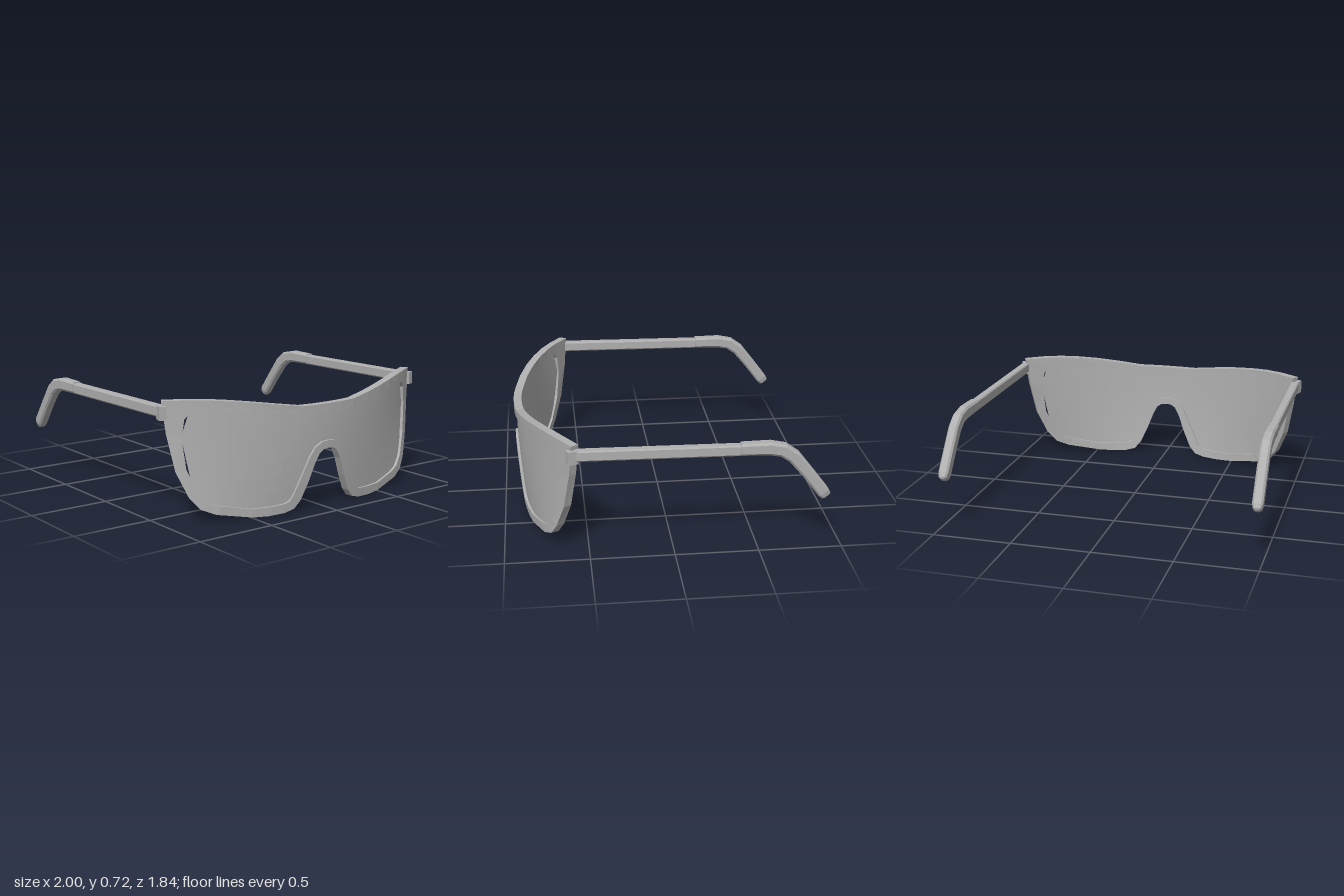
import * as THREE from 'three';

// Skin a list of equal-length rings (counter-clockwise about the travel direction).
function loft(rings, closed) {
  const pos = [], n = rings[0].length, m = rings.length;
  const tri = (...p) => p.forEach((v) => pos.push(...v));
  for (let i = 0; i < (closed ? m : m - 1); i++) {
    const A = rings[i], B = rings[(i + 1) % m];
    for (let j = 0; j < n; j++) {
      const k = (j + 1) % n;
      tri(A[j], A[k], B[k]);
      tri(A[j], B[k], B[j]);
    }
  }
  if (!closed) {
    const A = rings[0], B = rings[m - 1];
    for (let j = 1; j < n - 1; j++) {
      tri(A[0], A[j + 1], A[j]);
      tri(B[0], B[j], B[j + 1]);
    }
  }
  const g = new THREE.BufferGeometry();
  g.setAttribute('position', new THREE.Float32BufferAttribute(pos, 3));
  g.computeVertexNormals();
  return g;
}

// Wrapped face of the shield: front-view x, y and depth d behind the front.
function wrap(x, y, d) {
  const t = Math.min(1, Math.max(0, (0.6 - y) / 0.6)) ** 2;
  const curve = 0.345 - 0.095 * t, slope = 2 * curve * x, len = Math.hypot(1, slope);
  return [x - d * slope / len, y, 0.922 - 0.032 * t - curve * x * x - d / len];
}

// Half of the rim, from top centre round to the nose: [outer x, y, inner x, y]
const rimHalf = [
  [0, 0.645, 0, 0.59], [0.1, 0.645, 0.1, 0.59], [0.2, 0.646, 0.19, 0.595],
  [0.35, 0.668, 0.34, 0.617], [0.5, 0.69, 0.48, 0.637], [0.63, 0.706, 0.6, 0.65],
  [0.75, 0.717, 0.73, 0.656], [0.86, 0.72, 0.835, 0.647], [0.976, 0.718, 0.866, 0.61],
  [0.955, 0.53, 0.88, 0.5], [0.917, 0.31, 0.862, 0.32], [0.858, 0.16, 0.805, 0.175],
  [0.8, 0.085, 0.745, 0.115], [0.714, 0.048, 0.68, 0.094], [0.5, 0.01, 0.5, 0.06],
  [0.4, 0.005, 0.38, 0.06], [0.297, 0.01, 0.3, 0.066], [0.233, 0.027, 0.26, 0.08],
  [0.19, 0.075, 0.235, 0.125], [0.142, 0.18, 0.195, 0.21], [0.1, 0.29, 0.14, 0.33],
  [0.067, 0.35, 0.1, 0.388], [0.035, 0.37, 0.05, 0.416], [0, 0.373, 0, 0.42],
];

function rimGeometry() {
  const mirrored = rimHalf.slice(1, -1).reverse().map(([a, b, c, d]) => [-a, b, -c, d]);
  return loft([...rimHalf, ...mirrored].map(([ox, oy, ix, iy]) => [
    wrap(ox, oy, 0), wrap(ix, iy, 0), wrap(ix, iy, 0.05), wrap(ox, oy, 0.05),
  ]), true);
}

// Height of a piecewise-linear edge at x
function heightAt(edge, x) {
  for (let i = 1; i < edge.length; i++) {
    const [x0, y0] = edge[i - 1], [x1, y1] = edge[i];
    if (x <= x1) return y0 + (y1 - y0) * (x - x0) / (x1 - x0);
  }
  return edge[edge.length - 1][1];
}

function lensGeometry() {
  const inner = rimHalf.map((p) => [p[2], p[3]]);
  const top = inner.slice(0, 10), bottom = inner.slice(9).reverse();
  const columns = 44, rows = 6, rings = [];
  for (let i = 0; i <= columns; i++) {
    const x = 0.88 * (2 * i / columns - 1);
    const yt = heightAt(top, Math.abs(x)) + 0.008, yb = heightAt(bottom, Math.abs(x)) - 0.008;
    const front = [], back = [];
    for (let r = 0; r <= rows; r++) {
      const y = yt + (yb - yt) * r / rows;
      front.push(wrap(x, y, 0.016));
      back.unshift(wrap(x, y, 0.036));
    }
    rings.push([...front, ...back]);
  }
  return loft(rings, false);
}

// Chamfered bar swept along stations [z, y, half height, half width]
function barGeometry(x, stations, c) {
  const section = [[1, -c], [1, c], [c, 1], [-c, 1], [-1, c], [-1, -c], [-c, -1], [c, -1]];
  return loft(stations.map(([z, y, h, w], i) => {
    const a = stations[Math.max(0, i - 1)], b = stations[Math.min(stations.length - 1, i + 1)];
    const len = Math.hypot(b[0] - a[0], b[1] - a[1]);
    const tz = (b[0] - a[0]) / len, ty = (b[1] - a[1]) / len;
    return section.map(([u, v]) => [x + v * w, y - tz * u * h, z + ty * u * h]);
  }), false);
}

export function createModel() {
  const model = new THREE.Group();
  model.name = 'shieldGlasses';
  const grey = new THREE.MeshStandardMaterial({ color: 0xb0b0b0 });
  grey.name = 'grey';
  const add = (name, geometry) => {
    const mesh = new THREE.Mesh(geometry, grey);
    mesh.name = name;
    model.add(mesh);
    return mesh;
  };

  add('rim', rimGeometry());
  add('lens', lensGeometry());

  for (const s of [1, -1]) {
    const side = s > 0 ? 'left' : 'right';
    // Hinge block at the rim corner
    const hinge = add(side + 'Hinge', new THREE.BoxGeometry(0.042, 0.08, 0.062));
    hinge.position.set(s * 0.97, 0.65, 0.588);
    hinge.rotation.y = s * 0.3;
    // Straight temple
    add(side + 'Temple', barGeometry(s * 0.96, [
      [0.59, 0.657, 0.033, 0.026], [-0.42, 0.648, 0.033, 0.026],
    ], 0.75));
    // Thicker ear piece, bent down behind the ear
    add(side + 'EarPiece', barGeometry(s * 0.96, [
      [-0.38, 0.653, 0.036, 0.032], [-0.55, 0.652, 0.04, 0.032], [-0.63, 0.636, 0.04, 0.032],
      [-0.695, 0.59, 0.039, 0.032], [-0.78, 0.485, 0.036, 0.032], [-0.877, 0.357, 0.036, 0.032],
      [-0.894, 0.335, 0.031, 0.025], [-0.9, 0.327, 0.02, 0.014],
    ], 0.65));
  }
  return model;
}
